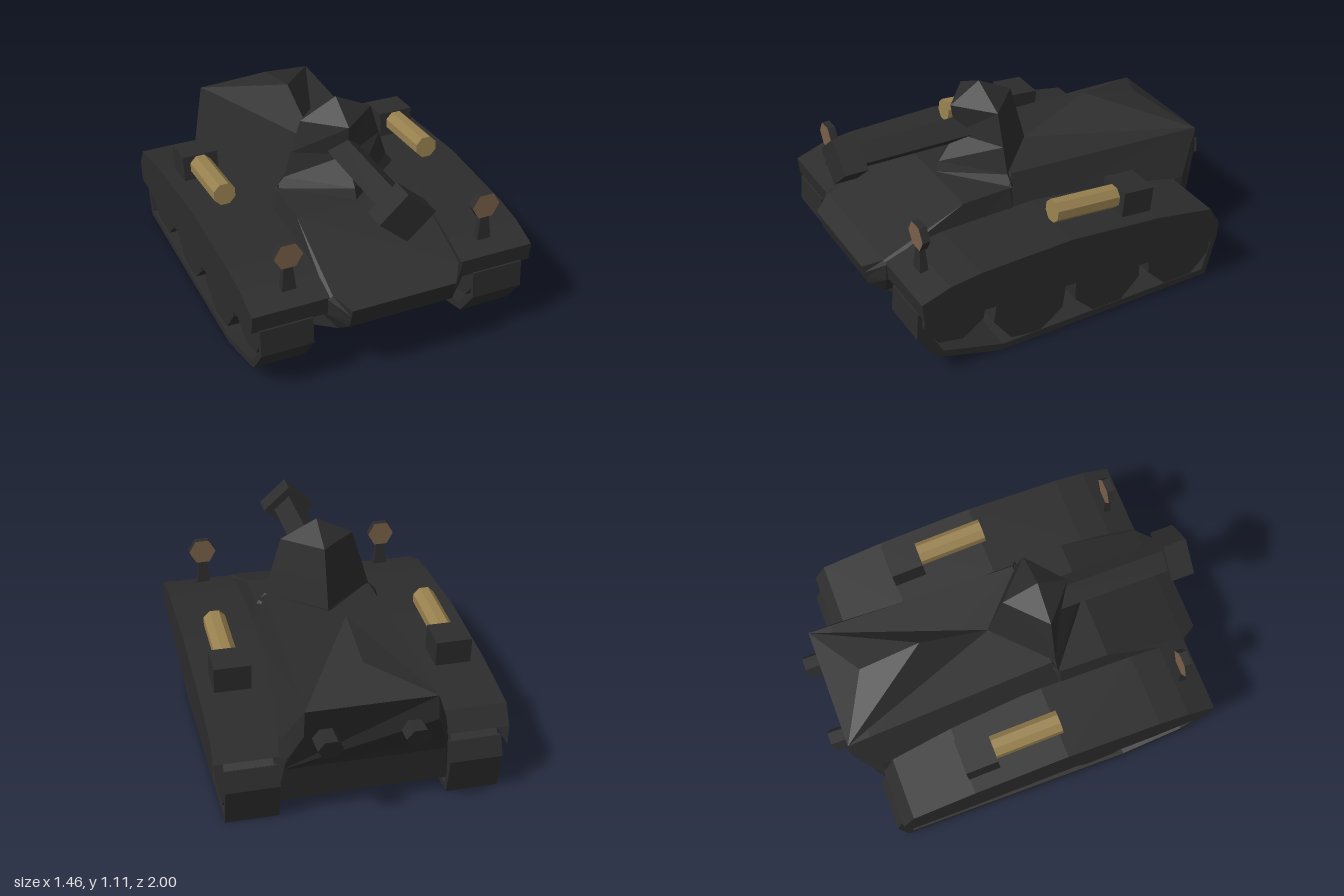
import * as THREE from 'three';

// Hull, fenders and deck are open shells, so the charcoal shows on both sides
const charcoal = new THREE.MeshStandardMaterial({ color: 0x2c2c2c, side: THREE.DoubleSide });
charcoal.name = 'charcoal';
const brass = new THREE.MeshStandardMaterial({ color: 0x97804f });
brass.name = 'brass';
const lampBrown = new THREE.MeshStandardMaterial({ color: 0x7a6049 });
lampBrown.name = 'lampBrown';

// Faceted mesh from any geometry
function part(name, geometry, material = charcoal) {
  const g = geometry.index ? geometry.toNonIndexed() : geometry;
  g.computeVertexNormals();
  const mesh = new THREE.Mesh(g, material);
  mesh.name = name;
  return mesh;
}

// Faceted geometry from a list of triangles, skipping collapsed ones
function fromTriangles(tris) {
  const solid = tris.filter(t => new THREE.Triangle(...t.map(p => new THREE.Vector3(...p))).getArea() > 1e-7);
  const g = new THREE.BufferGeometry();
  g.setAttribute('position', new THREE.Float32BufferAttribute(solid.flat(2), 3));
  return g;
}

// Triangles of a skin over matching rings of points, closed at both ends
function loft(rings) {
  const tris = [];
  const n = rings[0].length;
  for (let i = 0; i < rings.length - 1; i++) {
    for (let j = 0; j < n; j++) {
      const k = (j + 1) % n;
      const a = rings[i][j], b = rings[i][k], c = rings[i + 1][k], d = rings[i + 1][j];
      // Split mirrored sides along mirrored diagonals
      if (j < n / 2) tris.push([a, d, c], [a, c, b]);
      else tris.push([a, d, b], [b, d, c]);
    }
  }
  const first = rings[0], last = rings[rings.length - 1];
  for (let j = 1; j < n - 1; j++) {
    tris.push([first[0], first[j], first[j + 1]], [last[0], last[j + 1], last[j]]);
  }
  return tris;
}

const toShape = outline => new THREE.Shape(outline.map(p => new THREE.Vector2(...p)));

// Side outline of [z, y] points extruded across x, centred on xc
function sideExtrude(outline, width, xc) {
  const g = new THREE.ExtrudeGeometry(toShape(outline), { depth: width, bevelEnabled: false });
  return g.rotateY(-Math.PI / 2).translate(xc + width / 2, 0, 0);
}

// Bent sheet along [z, y] points between two x positions
function bentSheet(path, x0, x1) {
  const tris = [];
  for (let i = 0; i < path.length - 1; i++) {
    const [z0, y0] = path[i], [z1, y1] = path[i + 1];
    const a = [x0, y0, z0], b = [x1, y0, z0], c = [x1, y1, z1], d = [x0, y1, z1];
    tris.push([a, b, c], [a, c, d]);
  }
  return fromTriangles(tris);
}

// Prism lying along z
function prismZ(radius, length, sides, turn = 0) {
  return new THREE.CylinderGeometry(radius, radius, length, sides).rotateY(turn).rotateX(Math.PI / 2);
}

export function createModel() {
  const model = new THREE.Group();
  model.name = 'tank';

  // Hull: half sections (x, y, z) from nose to tail, mirrored into rings, open underneath
  const halves = [
    [[0.27, 0.33, 0.97], [0.27, 0.37, 0.98], [0.27, 0.4, 0.99], [0.27, 0.44, 1.0]],
    [[0.3, 0.28, 0.9], [0.35, 0.38, 0.91], [0.355, 0.47, 0.91], [0.33, 0.485, 0.91]],
    [[0.43, 0.08, 0.5], [0.43, 0.38, 0.5], [0.36, 0.47, 0.5], [0.325, 0.655, 0.47]],
    [[0.43, 0.08, 0.21], [0.43, 0.38, 0.21], [0.36, 0.5, 0.21], [0.325, 0.66, 0.21]],
    [[0.43, 0.08, 0.18], [0.43, 0.38, 0.18], [0.36, 0.5, 0.18], [0.28, 0.71, 0.18]],
    [[0.43, 0.08, -0.76], [0.425, 0.34, -0.77], [0.405, 0.45, -0.79], [0.315, 0.668, -0.8]],
    [[0.41, 0.28, -0.8], [0.39, 0.36, -0.835], [0.325, 0.53, -0.92], [0.32, 0.66, -0.92]],
  ];
  const mirror = ([x, y, z]) => [-x, y, z];
  const hullSkin = loft(halves.map(h => [...h, ...[...h].reverse().map(mirror)]));
  model.add(part('hull', fromTriangles(hullSkin.filter(t => t.some(p => p[1] > 0.1)))));

  // Raised engine deck
  const tip = [0, 0.7, -0.06], peak = [0, 0.86, -0.42], ridge = [0, 0.78, -0.74];
  const l = [0.32, 0.66, -0.92], r = mirror(l);
  model.add(part('engineDeck', fromTriangles([
    [tip, l, peak], [peak, l, ridge], [ridge, l, r], [ridge, r, peak], [peak, r, tip],
  ])));

  // Turret: four-cornered rings from roof point to skirt (half width, y, back z, front z)
  const turretRing = (w, y, back, front) => [[w, y, 0.2], [0, y, back], [-w, y, 0.2], [0, y, front]];
  model.add(part('turret', fromTriangles(loft([
    turretRing(0, 1.105, 0.2, 0.2),
    turretRing(0.19, 1.01, 0.02, 0.36),
    turretRing(0.24, 0.845, -0.025, 0.335),
    turretRing(0.28, 0.71, -0.06, 0.435),
    turretRing(0.325, 0.655, -0.06, 0.455),
  ]))));

  // Gun with diamond section
  const gun = new THREE.Group();
  gun.name = 'gun';
  const barrel = part('barrel', prismZ(0.083, 0.64, 4));
  barrel.position.z = -0.38;
  barrel.scale.y = 0.88;
  const muzzle = part('muzzle', prismZ(0.142, 0.12, 4));
  muzzle.scale.y = 0.88;
  gun.add(barrel, muzzle);
  gun.position.set(0, 0.88, 0.935);
  gun.rotation.x = -0.025;
  model.add(gun);

  // Fender sheet from front lip to rear lip, then the lower edge of its skirt
  const fenderTop = [
    [0.9, 0.385], [0.91, 0.48], [0.76, 0.53], [0.6, 0.55], [0.1, 0.56], [-0.4, 0.51],
    [-0.73, 0.45], [-0.79, 0.35],
  ];
  const skirtEdge = [[-0.78, 0.24], [-0.4, 0.252], [0, 0.285], [0.6, 0.33]];
  // Track runs under the wheels and up at both ends
  const trackOutline = [
    [0.91, 0.39], [0.92, 0.25], [0.81, 0.1], [0.47, 0], [-0.77, 0], [-0.82, 0.2], [-0.785, 0.3],
    [-0.76, 0.3], [-0.79, 0.2], [-0.745, 0.035], [0.46, 0.035], [0.785, 0.13], [0.895, 0.26], [0.885, 0.39],
  ];
  // Wheel centre z, centre y, radius, turn
  const wheels = [
    [0.3, 0.235, 0.213, 0.15], [-0.15, 0.222, 0.207, 0], [-0.59, 0.222, 0.207, 0], [0.71, 0.33, 0.175, 0.2],
  ];

  for (const s of [1, -1]) {
    const side = s > 0 ? 'left' : 'right';

    // Fender
    model.add(part(side + 'Fender', bentSheet(fenderTop, 0.345 * s, 0.732 * s)));
    const skirt = new THREE.ShapeGeometry(toShape([...fenderTop, ...skirtEdge]));
    model.add(part(side + 'Skirt', skirt.rotateY(-Math.PI / 2).translate(s * 0.732, 0, 0)));

    // Running gear
    model.add(part(side + 'Track', sideExtrude(trackOutline, 0.267, s * 0.556 - 0.006)));
    for (const [z, y, radius, turn] of wheels) {
      const wheel = new THREE.CylinderGeometry(radius, radius, 0.24, 8);
      wheel.rotateY(Math.PI / 8 + turn).rotateZ(Math.PI / 2).translate(s * 0.56, y, z);
      model.add(part(side + 'Wheel', wheel));
    }

    // Brass canister and the box behind it
    const canister = part(side + 'Canister', prismZ(0.06, 0.36, 8, Math.PI / 8), brass);
    canister.position.set(s * 0.562, 0.615, -0.065);
    canister.rotation.x = -0.09;
    const box = part(side + 'StowageBox', new THREE.BoxGeometry(0.185, 0.16, 0.17));
    box.position.set(s * 0.562, 0.572, -0.325);
    box.rotation.x = -0.09;
    model.add(canister, box);

    // Headlight with dark rim and brown faces, on a tapered post
    const lamp = part(side + 'Headlight', prismZ(0.073, 0.04, 6, Math.PI / 6), [charcoal, lampBrown, lampBrown]);
    lamp.position.set(s * 0.513, 0.706, 0.803);
    const post = part(side + 'HeadlightPost', new THREE.CylinderGeometry(0.03, 0.052, 0.14, 4, 1).rotateY(Math.PI / 4));
    post.scale.z = 0.6;
    post.position.set(s * 0.513, 0.585, 0.803);
    model.add(lamp, post);

    // Exhaust stub, slanted so its top reaches further back
    const slant = new THREE.Matrix4().set(1, 0, 0, 0, 0, 1, 0, 0, 0, -0.33, 1, 0, 0, 0, 0, 1);
    const exhaust = part(side + 'Exhaust', prismZ(0.062, 0.14, 6, Math.PI / 6).applyMatrix4(slant));
    exhaust.position.set(s * 0.212, 0.478, -0.91);
    model.add(exhaust);
  }

  return model;
}
